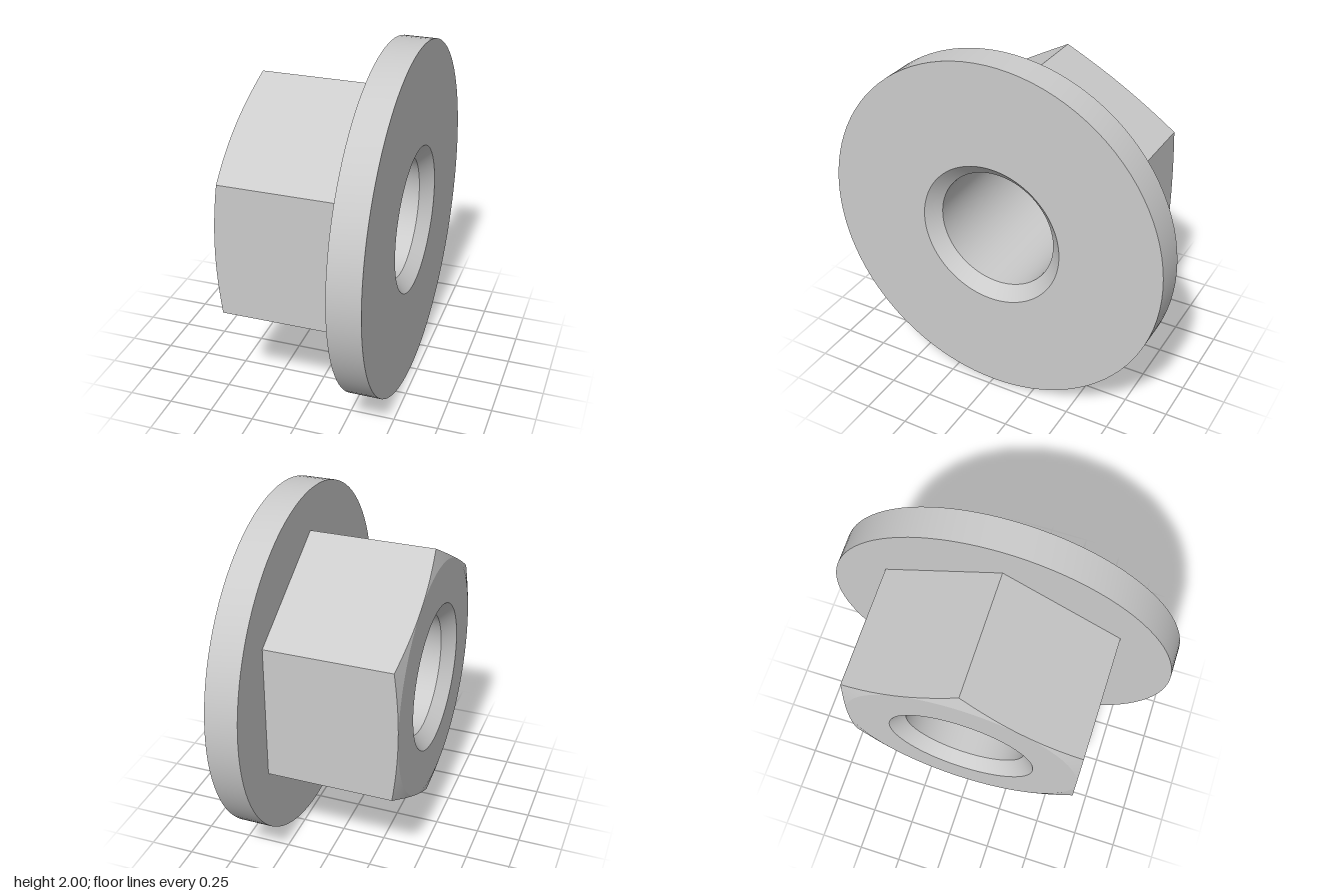
import * as THREE from 'three';
import { toCreasedNormals } from 'three/addons/utils/BufferGeometryUtils.js';

const SEGMENTS = 96; // multiple of 12 so columns land on hex corners and flats
const END = 0.4575; // half length along the axis
const FLANGE_BACK = 0.275;
const FLAT = 0.667; // hex centre to flat
const CORNER = FLAT / Math.cos(Math.PI / 6);
const BORE = 0.345;
const MOUTH = 0.417; // bore radius at its countersunk ends
const SINK = MOUTH - BORE;
const CHAMFER_SLOPE = 0.27;

// Distance from the axis to the hexagon outline, with a flat facing angle 0
function hexRadius(angle) {
  const step = Math.PI / 3;
  const a = angle - Math.round(angle / step) * step;
  return FLAT / Math.cos(a);
}

function lathe(profile) {
  return new THREE.LatheGeometry(profile.map(([r, y]) => new THREE.Vector2(r, y)), SEGMENTS);
}

// Pull the outer rows of the lathe onto the hexagon and sink them along the chamfer cone
function makeHex(geometry) {
  const p = geometry.attributes.position;
  for (let i = 0; i < p.count; i++) {
    const x = p.getX(i), y = p.getY(i), z = p.getZ(i);
    const r = Math.hypot(x, z);
    if (r < CORNER - 0.01) continue;
    const hex = hexRadius(Math.atan2(x, z));
    const newY = y < 0 ? -END + CHAMFER_SLOPE * (hex - FLAT + 0.001) : y;
    p.setXYZ(i, x * hex / r, newY, z * hex / r);
  }
  return geometry;
}

export function createModel() {
  const group = new THREE.Group();
  const material = new THREE.MeshStandardMaterial({ color: 0xcccccc });

  const add = (name, geometry) => {
    // The lathe axis turns from y to x and lifts to the middle height
    geometry.rotateZ(-Math.PI / 2).translate(0, 1, 0);
    const mesh = new THREE.Mesh(toCreasedNormals(geometry, 0.2), material);
    mesh.name = name;
    group.add(mesh);
  };

  // Hexagonal body with a chamfered end face
  add('hexBody', makeHex(lathe([
    [MOUTH, -END], [FLAT - 0.001, -END], [CORNER, -END], [CORNER, FLANGE_BACK],
  ])));

  // Round flange
  add('flange', lathe([
    [FLAT - 0.001, FLANGE_BACK], [1, FLANGE_BACK], [1, END], [MOUTH, END],
  ]));

  // Through hole, countersunk at both ends
  add('bore', lathe([
    [MOUTH, END], [BORE, END - SINK], [BORE, SINK - END], [MOUTH, -END],
  ]));

  return group;
}
